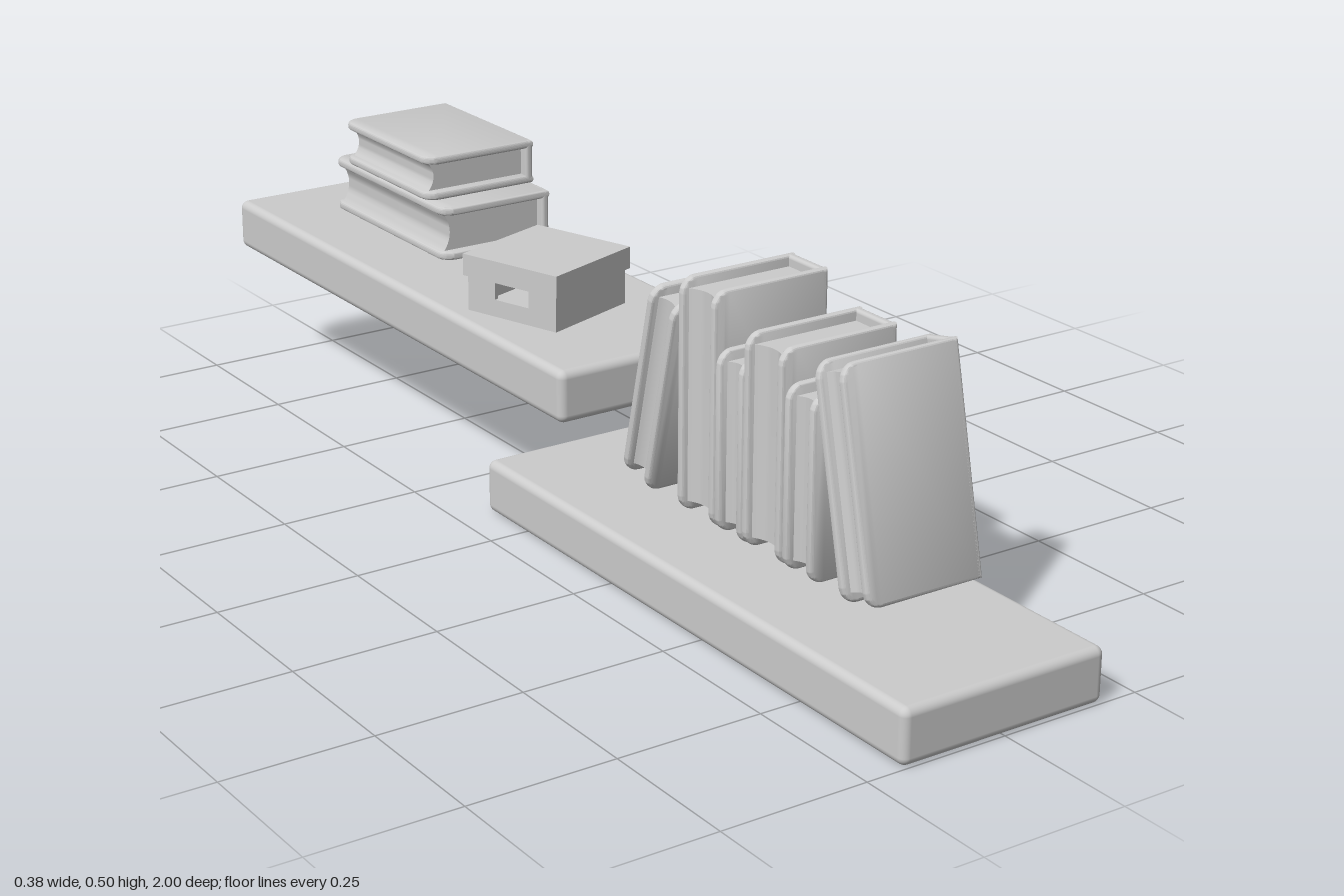
import * as THREE from 'three';
import { toCreasedNormals } from 'three/addons/utils/BufferGeometryUtils.js';
import { RoundedBoxGeometry } from 'three/addons/geometries/RoundedBoxGeometry.js';

const material = new THREE.MeshStandardMaterial({ color: 0xcccccc });

function part(parent, name, geometry, x = 0, y = 0, z = 0) {
  const mesh = new THREE.Mesh(geometry, material);
  mesh.name = name;
  mesh.position.set(x, y, z);
  parent.add(mesh);
  return mesh;
}

const BOOK_WIDTH = 0.22, COVER = 0.015, BEVEL = 0.006;

// Cover board: square at the spine (+x), rounded corners at the open side
function coverGeometry(h) {
  const x = BOOK_WIDTH / 2, y = h / 2, r = 0.028;
  const shape = new THREE.Shape();
  shape.moveTo(x, -y);
  shape.lineTo(x, y);
  shape.lineTo(-x + r, y);
  shape.absarc(-x + r, y - r, r, Math.PI / 2, Math.PI, false);
  shape.lineTo(-x, -y + r);
  shape.absarc(-x + r, -y + r, r, Math.PI, Math.PI * 1.5, false);
  shape.closePath();
  const depth = COVER - 2 * BEVEL;
  const geometry = new THREE.ExtrudeGeometry(shape, {
    depth, curveSegments: 8, bevelEnabled: true, bevelSize: BEVEL,
    bevelThickness: BEVEL, bevelOffset: -BEVEL, bevelSegments: 4,
  });
  geometry.translate(0, 0, -depth / 2);
  return toCreasedNormals(geometry, 0.7);
}

// Page block with a hollow fore edge, recessed at both ends
function pagesGeometry(h, t) {
  const x0 = -BOOK_WIDTH / 2 + 0.006, x1 = BOOK_WIDTH / 2 - 0.008, z = t / 2 - COVER / 2;
  const shape = new THREE.Shape();
  shape.moveTo(x0, -z);
  shape.lineTo(x1, -z);
  shape.lineTo(x1, z);
  shape.lineTo(x0, z);
  shape.quadraticCurveTo(x0 + 0.034, 0, x0, -z);
  const depth = h - 0.036;
  const geometry = new THREE.ExtrudeGeometry(shape, { depth, curveSegments: 12, bevelEnabled: false });
  geometry.translate(0, 0, -depth / 2);
  geometry.rotateX(-Math.PI / 2);
  return toCreasedNormals(geometry, 0.6);
}

// Book standing on its end, centred on its own origin
function makeBook(h, t) {
  const book = new THREE.Group();
  for (const s of [-1, 1]) part(book, 'bookCover', coverGeometry(h), 0, 0, s * (t - COVER) / 2);
  part(book, 'bookSpine', new RoundedBoxGeometry(COVER, h, t, 4, BEVEL), (BOOK_WIDTH - COVER) / 2);
  part(book, 'bookPages', pagesGeometry(h, t));
  return book;
}

// Hollow storage box with handle holes on two sides and an overhanging lid
function makeStorageBox() {
  const box = new THREE.Group();
  box.name = 'storageBox';
  const w = 0.188, h = 0.07, wall = 0.008;
  const side = new THREE.Shape();
  side.moveTo(-w / 2, 0);
  side.lineTo(w / 2, 0);
  side.lineTo(w / 2, h);
  side.lineTo(-w / 2, h);
  side.closePath();
  const hole = new THREE.Path();
  hole.moveTo(-0.036, 0.03);
  hole.lineTo(-0.036, 0.066);
  hole.lineTo(0.036, 0.066);
  hole.lineTo(0.036, 0.03);
  hole.closePath();
  side.holes.push(hole);
  for (const s of [-1, 1]) {
    const geometry = new THREE.ExtrudeGeometry(side, { depth: wall, bevelEnabled: false });
    geometry.translate(0, 0, -wall / 2);
    geometry.rotateY(Math.PI / 2);
    part(box, 'boxHandleSide', geometry, s * (w - wall) / 2);
    part(box, 'boxSide', new THREE.BoxGeometry(w - 2 * wall, h, wall), 0, h / 2, s * (w - wall) / 2);
  }
  part(box, 'boxFloor', new THREE.BoxGeometry(w - 2 * wall, wall, w - 2 * wall), 0, wall / 2, 0);
  part(box, 'boxLid', new THREE.BoxGeometry(0.2, 0.038, 0.2), 0, 0.081, 0);
  return box;
}

export function createModel() {
  const model = new THREE.Group();
  model.name = 'shelvesWithBooks';

  // Two staggered wall shelves
  part(model, 'lowerShelf', new RoundedBoxGeometry(0.375, 0.092, 1.115, 5, 0.014), 0, 0.046, 0.4425);
  part(model, 'upperShelf', new RoundedBoxGeometry(0.375, 0.09, 1.118, 5, 0.014), 0, 0.273, -0.441);

  // Standing books: height, thickness, centre y, centre z, lean
  const standing = [
    [0.372, 0.073, 0.287, 0.677, -0.216],
    [0.305, 0.075, 0.252, 0.572, 0],
    [0.355, 0.1, 0.278, 0.48, 0],
    [0.305, 0.073, 0.252, 0.393, 0],
    [0.395, 0.1, 0.298, 0.305, 0],
    [0.352, 0.076, 0.279, 0.172, 0.227],
  ];
  for (const [h, t, y, z, lean] of standing) {
    const book = makeBook(h, t);
    book.name = lean ? 'leaningBook' : 'standingBook';
    book.position.set(0.053, y, z);
    book.rotation.x = lean;
    model.add(book);
  }

  // Stack of two books lying flat
  for (const [h, t, y, z] of [[0.402, 0.097, 0.3665, -0.665], [0.306, 0.08, 0.455, -0.67]]) {
    const book = makeBook(h, t);
    book.name = 'stackedBook';
    book.position.set(0.053, y, z);
    book.rotation.x = Math.PI / 2;
    model.add(book);
  }

  // Turned storage box on the upper shelf
  const box = makeStorageBox();
  box.position.set(-0.031, 0.318, -0.167);
  box.rotation.y = 0.33;
  model.add(box);
  return model;
}
